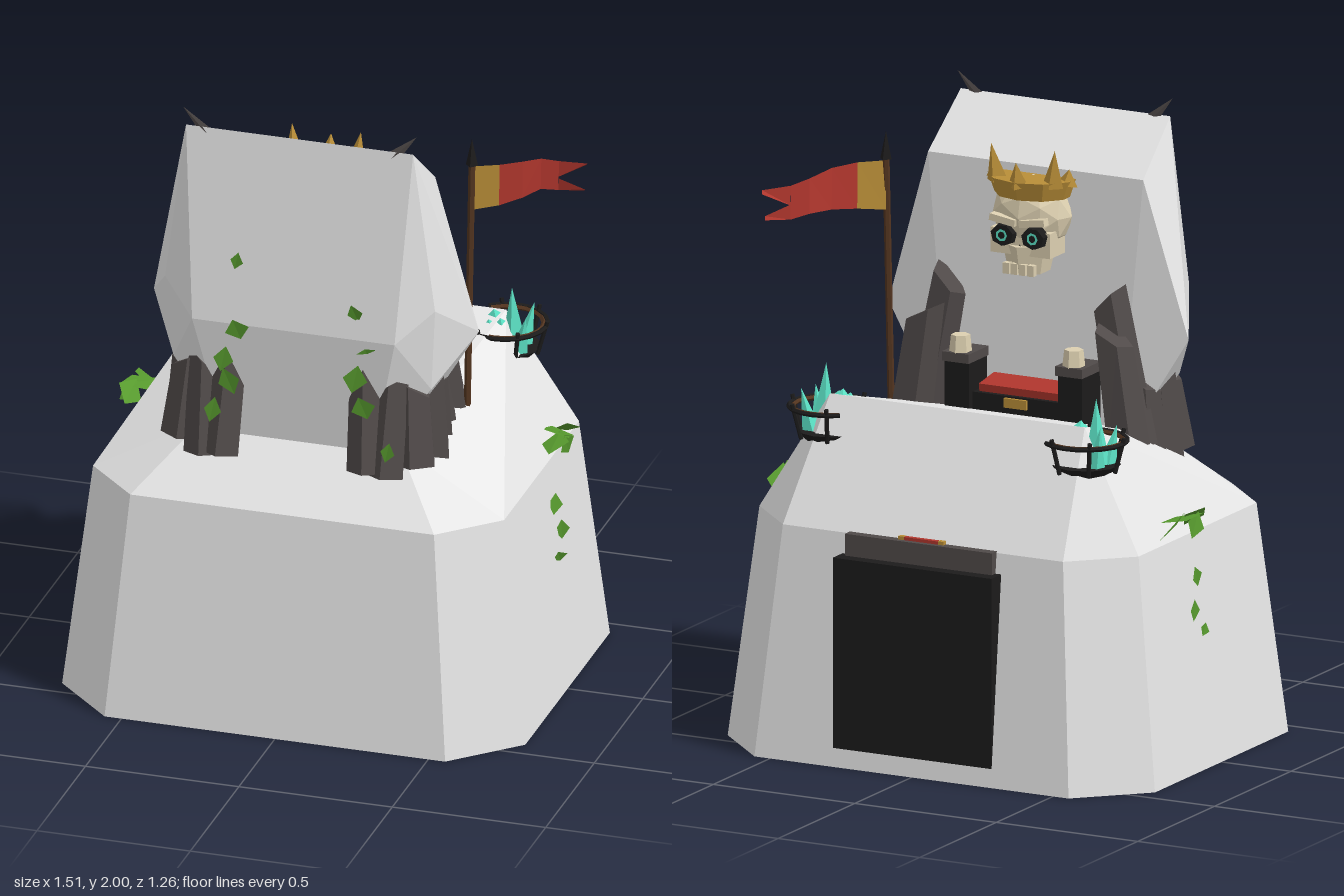
import * as THREE from 'three';
import { ConvexGeometry } from 'three/addons/geometries/ConvexGeometry.js';

const mat = (name, color, double = false) => {
  const m = new THREE.MeshStandardMaterial({ color, flatShading: true });
  m.name = name;
  if (double) m.side = THREE.DoubleSide;
  return m;
};

export function createModel() {
  const root = new THREE.Group();
  root.name = 'skullThroneTower';
  const stone = mat('pale stone', 0xe6e6e6);
  const rock = mat('dark rock', 0x504a49);
  const black = mat('black iron', 0x1c1b1b, true);
  const bone = mat('bone', 0xdccfb0);
  const gold = mat('gold', 0xb98e38, true);
  const red = mat('red cloth', 0xb0362d, true);
  const teal = mat('teal crystal', 0x5be0c4);
  const green = mat('leaf green', 0x579a2e, true);
  const wood = mat('brown wood', 0x52341f);

  const add = (name, geo, material, pos = [0, 0, 0], rot = [0, 0, 0], parent = root) => {
    const m = new THREE.Mesh(geo, material);
    m.name = name;
    m.position.set(...pos);
    m.rotation.set(...rot);
    parent.add(m);
    return m;
  };
  const box = (name, w, h, d, material, pos, rot, parent) =>
    add(name, new THREE.BoxGeometry(w, h, d), material, pos, rot, parent);
  const group = (name) => {
    const g = new THREE.Group();
    g.name = name;
    root.add(g);
    return g;
  };
  // Convex block from corner points mirrored across x
  const mirroredHull = (pts) =>
    new ConvexGeometry(pts.flatMap(([x, y, z]) => [new THREE.Vector3(x, y, z), new THREE.Vector3(-x, y, z)]));
  // Rod between two points
  const rod = (name, a, b, r, material, parent = root) => {
    const va = new THREE.Vector3(...a), vb = new THREE.Vector3(...b);
    const m = add(name, new THREE.CylinderGeometry(r, r, va.distanceTo(vb), 6), material, [0, 0, 0], [0, 0, 0], parent);
    m.position.copy(va).add(vb).multiplyScalar(0.5);
    m.quaternion.setFromUnitVectors(new THREE.Vector3(0, 1, 0), vb.sub(va).normalize());
  };

  // Chamfered base with a plateau rising to the back
  add('base', mirroredHull([
    [0.555, 0, 0.63], [0.755, 0, 0.435], [0.755, 0, -0.435], [0.555, 0, -0.63],
    [0.495, 0.735, 0.555], [0.67, 0.735, 0.385], [0.67, 0.735, -0.385], [0.495, 0.735, -0.555],
    [0.45, 1.11, -0.33], [0.32, 0.93, 0.36],
  ]), stone);

  // Tall faceted slab behind the throne
  add('throneBack', mirroredHull([
    [0.37, 1.94, 0.375], [0.38, 1.78, 0.18], [0.44, 1.41, 0.37], [0.53, 1.28, 0.2],
    [0.33, 1.31, 0.44], [0.42, 1.13, 0.345], [0.24, 0.9, 0.38], [0.3, 0.9, 0.17],
  ]), stone);

  // Rock columns clasping the slab: x, z, bottom, top, radius, sideways lean, backward lean
  const columns = [
    [0.23, 0.4, 0.86, 1.2, 0.065, 0.05, 0.18], [0.3, 0.395, 0.85, 1.15, 0.065, -0.03, 0.18],
    [0.37, 0.355, 0.88, 1.14, 0.07, 0.08, 0.15], [0.395, 0.27, 0.87, 1.12, 0.065, 0.05, 0.05],
    [0.38, 0.19, 0.89, 1.14, 0.065, 0.05, 0], [0.33, 0.14, 0.93, 1.4, 0.07, 0.2, 0],
    [0.36, 0.07, 0.95, 1.3, 0.07, 0.15, 0],
  ];
  for (const s of [1, -1]) {
    const claw = group(s > 0 ? 'leftRockClaw' : 'rightRockClaw');
    columns.forEach(([x, z, y0, y1, r, lean, back], i) => {
      const h = y1 - y0;
      const geo = new THREE.CylinderGeometry(r * 0.85, r, h, 5);
      const p = geo.attributes.position;
      for (let k = 0; k < p.count; k++) if (p.getY(k) > 0) p.setY(k, p.getY(k) + p.getX(k) * (i % 2 ? 0.7 : -0.7) * s);
      geo.computeVertexNormals();
      add('rockColumn', geo, rock, [s * x, (y0 + y1) / 2, z], [-back, 0, s * lean], claw);
    });

    // Spike on the slab's top corner
    const spike = add('spike', new THREE.ConeGeometry(0.024, 0.13, 4), rock, [s * 0.335, 1.953, 0.372], [0, 0, -s * 0.78]);
    spike.scale.z = 0.25;

    // Armrest with a bone knob
    box('armrest', 0.085, 0.2, 0.12, black, [s * 0.2, 1.07, 0.095]);
    box('armrestCap', 0.095, 0.03, 0.13, rock, [s * 0.2, 1.175, 0.09]);
    add('armrestKnob', new THREE.CylinderGeometry(0.03, 0.036, 0.055, 6), bone, [s * 0.2, 1.215, 0.06]);

    // Iron brazier with crystals on the ridge corner
    const b = group(s > 0 ? 'leftBrazier' : 'rightBrazier');
    b.position.set(s * 0.45, 0, -0.325);
    const turn = (s > 0 ? Math.PI : 0) + Math.PI * 0.275;
    add('brazierRim', new THREE.TorusGeometry(0.131, 0.008, 5, 14, Math.PI * 1.45), black,
      [0, 1.07, 0], [Math.PI / 2, 0, turn], b);
    add('woodRim', new THREE.TorusGeometry(0.119, 0.008, 4, 14, Math.PI * 1.45), wood,
      [0, 1.068, 0], [Math.PI / 2, 0, turn], b);
    add('brazierBowl', new THREE.CylinderGeometry(0.112, 0.055, 0.055, 10), black, [0, 0.968, 0], [0, 0, 0], b);
    for (let i = 0; i < 5; i++) {
      const a = (i / 4 - 0.5) * Math.PI * 1.25, c = s * Math.cos(a), d = Math.sin(a);
      rod('brazierPost', [c * 0.104, 0.975, d * 0.104], [c * 0.136, 1.09, d * 0.136], 0.007, black, b);
    }
    [[0.03, 0.015, 0.21, 0.045, 0.03], [0.07, 0.045, 0.13, 0.032, -0.2], [0.065, -0.04, 0.14, 0.032, -0.2]]
      .forEach(([x, z, h, r, t]) => add('crystal', new THREE.ConeGeometry(r, h, 5), teal, [s * x, 0.99 + h / 2, z], [z * 3, 0, s * t], b));
    // Loose shards on the plateau
    [[-0.03, 0.02, 0.024], [0, 0.05, 0.016], [-0.035, 0.06, 0.014]].forEach(([x, z, r]) =>
      add('crystalShard', new THREE.OctahedronGeometry(r), teal, [s * x, 1.105 - z * 0.27, z], [0.3, 0.5, 0], b));
  }

  // Throne seat
  box('seat', 0.31, 0.09, 0.12, black, [0, 1.02, 0.115]);
  box('cushion', 0.28, 0.035, 0.1, red, [0, 1.08, 0.12], [-0.15, 0, 0]);
  box('seatClasp', 0.08, 0.03, 0.015, gold, [0, 1.045, 0.052]);

  // Skull facing the back
  const skull = group('skull');
  add('cranium', new THREE.IcosahedronGeometry(0.135, 1), bone, [0, 1.635, 0.165], [0, 0, 0], skull).scale.set(1, 0.9, 0.75);
  box('cheeks', 0.21, 0.08, 0.11, bone, [0, 1.555, 0.135], [0, 0, 0], skull);
  add('jaw', new THREE.CylinderGeometry(0.085, 0.065, 0.09, 6), bone, [0, 1.5, 0.14], [0, 0, 0], skull);
  for (let i = -1.5; i <= 1.5; i++) box('tooth', 0.022, 0.035, 0.02, bone, [i * 0.029, 1.472, 0.075], [0, 0, 0], skull);
  add('nose', new THREE.CircleGeometry(0.02, 3), black, [0, 1.53, 0.077], [0, Math.PI, Math.PI / 2], skull);
  for (const s of [1, -1]) {
    const socket = add('eyeSocket', new THREE.CylinderGeometry(0.045, 0.04, 0.03, 7), black, [s * 0.054, 1.578, 0.073], [Math.PI / 2, 0, 0], skull);
    socket.scale.z = 0.85;
    add('eyeGlow', new THREE.RingGeometry(0.012, 0.02, 7), teal, [s * 0.054, 1.578, 0.056], [0, Math.PI, 0], skull);
    box('brow', 0.09, 0.022, 0.03, bone, [s * 0.052, 1.627, 0.07], [0, 0, s * 0.15], skull);
  }

  // Crown with two tall points and three smaller ones
  const crown = group('crown');
  crown.position.set(0, 1.725, 0.17);
  crown.scale.z = 0.85;
  add('crownBand', new THREE.CylinderGeometry(0.15, 0.128, 0.06, 10), gold, [0, 0, 0], [0, 0, 0], crown);
  [[0.04, 0.05], [0.2, 0.12], [0.5, 0.08], [0.8, 0.12], [0.96, 0.05]].forEach(([t, h]) => {
    const c = Math.cos(t * Math.PI), d = -Math.sin(t * Math.PI);
    add('crownPoint', new THREE.ConeGeometry(0.036, h, 4), gold, [c * 0.13, 0.015 + h / 2, d * 0.13], [d * 0.25, 0, -c * 0.15], crown);
  });

  // Back door with lintel
  box('door', 0.56, 0.61, 0.12, black, [0, 0.365, -0.566]);
  box('lintel', 0.52, 0.07, 0.06, rock, [0, 0.705, -0.555]);
  box('lintelBanner', 0.13, 0.014, 0.016, red, [0, 0.743, -0.56]);
  for (const s of [1, -1]) box('bannerEnd', 0.02, 0.016, 0.018, gold, [s * 0.07, 0.743, -0.56]);

  // Flagpole and spear tip
  rod('flagPole', [0.45, 0.95, 0.07], [0.46, 1.79, 0.053], 0.011, wood);
  add('spearTip', new THREE.ConeGeometry(0.02, 0.09, 4), black, [0.46, 1.82, 0.053]);

  // Waving flag from leaning slices: x, z, top, bottom
  const sheet = (name, list, material) => {
    const v = [];
    const low = ([x, z, , y]) => [x - 0.006, y, z - 0.012];
    const high = ([x, z, y]) => [x, y, z];
    for (let i = 0; i + 1 < list.length; i++) {
      const [a, b] = [list[i], list[i + 1]];
      v.push(...low(a), ...low(b), ...high(b), ...low(a), ...high(b), ...high(a));
    }
    const g = new THREE.BufferGeometry();
    g.setAttribute('position', new THREE.Float32BufferAttribute(v, 3));
    g.computeVertexNormals();
    add(name, g, material);
  };
  const hoistEnd = [0.535, 0.005, 1.765, 1.62];
  sheet('flagHoist', [[0.46, 0.053, 1.77, 1.615], hoistEnd], gold);
  sheet('flagCloth', [hoistEnd, [0.59, -0.06, 1.755, 1.625], [0.625, -0.14, 1.735, 1.625], [0.67, -0.18, 1.715, 1.61]], red);
  sheet('flagTailTop', [[0.67, -0.18, 1.715, 1.655], [0.75, -0.22, 1.7, 1.69]], red);
  sheet('flagTailBottom', [[0.67, -0.18, 1.655, 1.61], [0.745, -0.21, 1.615, 1.605]], red);

  // Bent diamond leaves: x, y, z, length, width, rotation
  const leaf = (x, y, z, l, w, rot) => {
    const g = new THREE.BufferGeometry();
    const [a, b, c, d] = [[0, l / 2, 0], [w / 2, 0, 0.015], [0, -l / 2, 0], [-w / 2, 0, -0.008]];
    g.setAttribute('position', new THREE.Float32BufferAttribute([...a, ...c, ...b, ...a, ...d, ...c], 3));
    g.computeVertexNormals();
    add('leaf', g, green, [x, y, z], rot);
  };
  [[-0.19, 1.52, 0.425, 0.06, 0.035], [-0.18, 1.3, 0.455, 0.08, 0.075], [-0.22, 1.2, 0.468, 0.09, 0.06],
    [-0.2, 1.13, 0.475, 0.11, 0.065], [-0.25, 1.03, 0.485, 0.09, 0.05], [0.2, 1.4, 0.44, 0.07, 0.045],
    [0.21, 1.19, 0.47, 0.1, 0.075], [0.24, 1.1, 0.482, 0.09, 0.075], [0.32, 0.96, 0.485, 0.07, 0.04],
    [0.24, 1.28, 0.45, 0.02, 0.06]]
    .forEach(([x, y, z, l, w], i) => leaf(x, y, z, l, w, [0.15, 0.55, i % 2 ? 0.3 : -0.25]));
  // Leaf tufts drooping outward from the side shoulders, with loose leaves below
  for (const s of [1, -1]) {
    const dz = s > 0 ? -0.04 : 0;
    leaf(s * 0.675, 0.8, dz - 0.12, 0.16, 0.1, [1.4, 0, -s * 0.7]);
    leaf(s * 0.685, 0.795, dz - 0.05, 0.13, 0.09, [1.8, s * 0.5, 0]);
    leaf(s * 0.68, 0.785, dz - 0.19, 0.14, 0.08, [1.1, s * 0.5, -s * 0.3]);
    leaf(s * 0.71, 0.775, dz - 0.09, 0.09, 0.07, [0, s * 1.57, s * 0.5]);
    [[0.6, -0.055, 0.07], [0.5, -0.09, 0.07], [0.43, -0.04, 0.045]].forEach(([y, z, l], i) =>
      leaf(s * (0.765 - y * 0.116), y, z, l, 0.045, [i * 0.4 - 0.3, s * 1.2, 0]));
  }
  return root;
}
